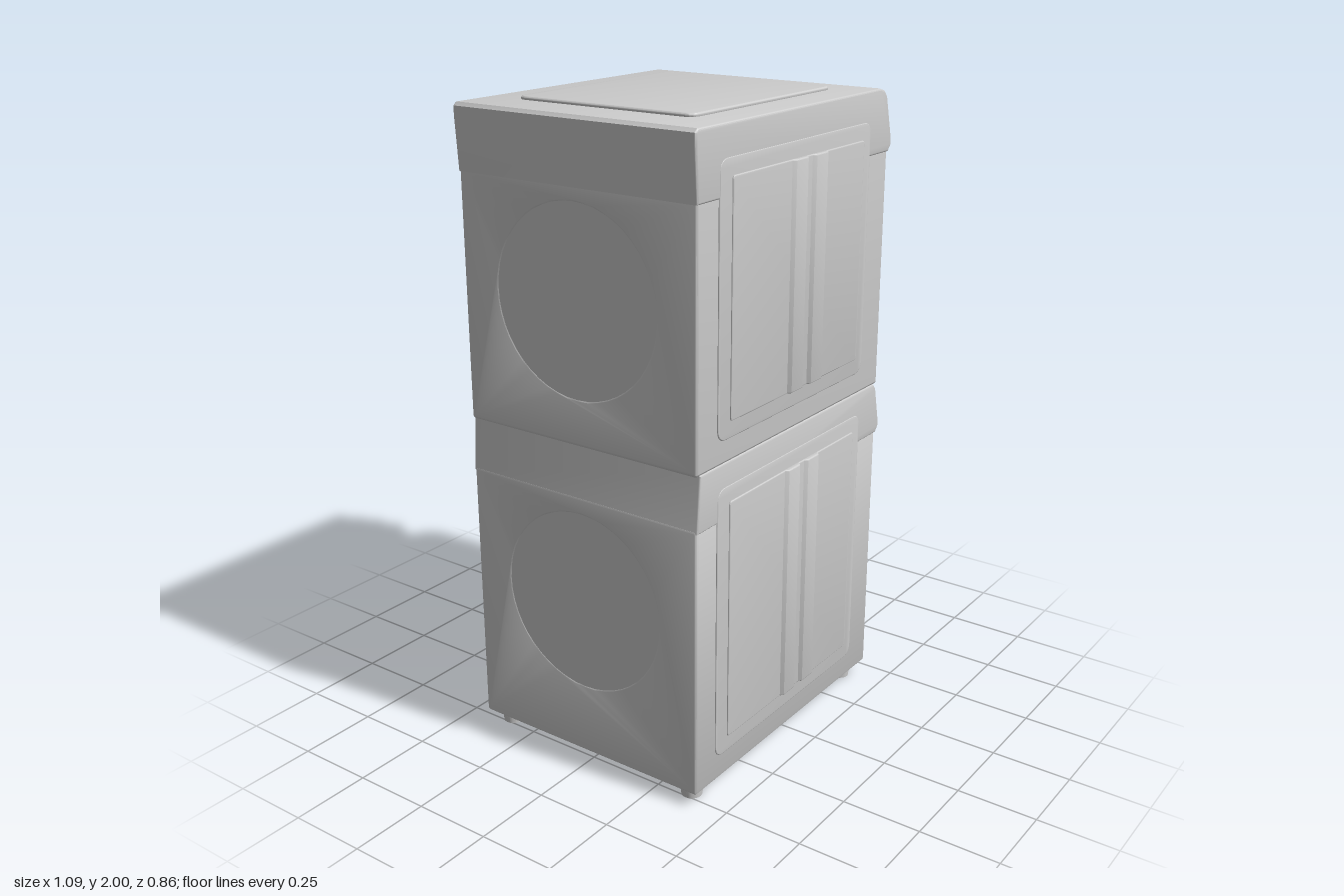
import * as THREE from 'three';
import { toCreasedNormals } from 'three/addons/utils/BufferGeometryUtils.js';

const grey = new THREE.MeshStandardMaterial({ color: 0xcccccc });

function add(parent, name, geo, x = 0, y = 0, z = 0) {
  const mesh = new THREE.Mesh(geo, grey);
  mesh.name = name;
  mesh.position.set(x, y, z);
  parent.add(mesh);
  return mesh;
}

function roundedRect(w, h, r) {
  const s = new THREE.Shape(), a = w / 2, b = h / 2;
  s.moveTo(-a + r, -b);
  s.lineTo(a - r, -b).quadraticCurveTo(a, -b, a, -b + r);
  s.lineTo(a, b - r).quadraticCurveTo(a, b, a - r, b);
  s.lineTo(-a + r, b).quadraticCurveTo(-a, b, -a, b - r);
  s.lineTo(-a, -b + r).quadraticCurveTo(-a, -b, -a + r, -b);
  return s;
}

// Extrusion along z from 0 to depth, bevel included in the outer size of z
function extrude(shape, depth, bevel) {
  const geo = new THREE.ExtrudeGeometry(shape, {
    depth: depth - 2 * bevel, curveSegments: 24, bevelEnabled: bevel > 0,
    bevelThickness: bevel, bevelSize: bevel, bevelOffset: -bevel, bevelSegments: 3
  });
  geo.translate(0, 0, bevel);
  return toCreasedNormals(geo, 0.6);
}

const polygon = pts => new THREE.Shape(pts.map(p => new THREE.Vector2(p[0], p[1])));

// Lathe profile of [radius, x] points turned about the x axis
function latheX(pts, segments = 64) {
  const geo = new THREE.LatheGeometry(pts.map(p => new THREE.Vector2(p[0], p[1])), segments);
  return toCreasedNormals(geo.rotateZ(-Math.PI / 2), 0.5);
}

// Door ring, funnel and drum as one turned surface, with baffles inside
function makeDoor(parent, y) {
  const door = new THREE.Group();
  door.name = 'door';
  door.position.y = y;
  parent.add(door);
  add(door, 'doorRing', latheX([
    [0.29, 0.455], [0.327, 0.468], [0.327, 0.5], [0.32, 0.525], [0.307, 0.541], [0.295, 0.545],
    [0.272, 0.542], [0.26, 0.53], [0.235, 0.485], [0.21, 0.44], [0.195, 0.42], [0.19, 0.40],
    [0.2, 0.385], [0.235, 0.38], [0.24, 0.36], [0.24, 0.13], [0.22, 0.10], [0.0001, 0.09]
  ]));
  add(door, 'drumHub', latheX([[0.05, 0.08], [0.05, 0.1], [0.03, 0.12], [0.0001, 0.125]], 32));
  for (let i = 0; i < 3; i++) {
    const baffle = new THREE.Group();
    baffle.name = 'drumBaffle';
    baffle.rotation.x = i * Math.PI * 2 / 3 + 0.5;
    const wedge = polygon([[-0.05, 0], [0.05, 0], [0.014, 0.085], [-0.014, 0.085]]);
    const geo = extrude(wedge, 0.24, 0.008).rotateY(Math.PI / 2);
    add(baffle, 'baffleFin', geo, 0.11, -0.24, 0);
    door.add(baffle);
  }
  return door;
}

function makeKnob(parent, y, z, r, length) {
  const knob = add(parent, 'knob', latheX([
    [r, 0], [r, 0.012], [r * 0.86, 0.016], [r * 0.8, length - 0.008], [r * 0.7, length], [0.0001, length]
  ], 32), 0, y, z);
  knob.rotation.z = 0.24;
  return knob;
}

// Pressed side sheets with two raised vertical ribs, on both sides
function makeSides(parent, y0, y1) {
  const h = y1 - y0, yc = (y0 + y1) / 2;
  for (const side of [1, -1]) {
    const g = new THREE.Group();
    g.name = side > 0 ? 'leftSidePanel' : 'rightSidePanel';
    g.position.set(0, yc, side * 0.413);
    if (side < 0) g.rotation.y = Math.PI;
    parent.add(g);
    add(g, 'pressedPanel', extrude(roundedRect(0.79, h, 0.04), 0.006, 0.003), -0.045 * side);
    add(g, 'innerPanel', extrude(roundedRect(0.69, h - 0.1, 0.01), 0.010, 0.003), -0.038 * side);
    for (const x of [-0.055, 0.052]) {
      const rib = polygon([[-0.052, 0], [0.052, 0], [0.03, -0.019], [-0.03, -0.019]]);
      const geo = extrude(rib, h - 0.1, 0.004).rotateX(-Math.PI / 2);
      add(g, 'rib', geo, x * side, -(h - 0.1) / 2, 0);
    }
  }
}

// One appliance: hollow cabinet, sloped control section, door
function makeUnit(name, o) {
  const unit = new THREE.Group();
  unit.name = name;
  const h = o.panelY - o.y0, yc = (o.y0 + o.panelY) / 2;

  const outline = roundedRect(0.83, h, 0.012);
  const hole = new THREE.Path();
  hole.absarc(0, o.doorY - yc, 0.28, 0, Math.PI * 2, true);
  outline.holes.push(hole);
  add(unit, 'cabinet', extrude(outline, 0.998, 0.008).rotateY(Math.PI / 2), -0.535, yc, 0);
  add(unit, 'backPanel', new THREE.BoxGeometry(0.02, h - 0.02, 0.8), -0.524, yc, 0);

  const section = extrude(polygon(o.profile), 0.836, 0.006);
  add(unit, 'controlSection', section, 0, 0, -0.418);
  const grip = add(unit, 'drawerGrip', extrude(roundedRect(0.21, 0.024, 0.01), 0.02, 0.004)
    .rotateY(Math.PI / 2), 0.469, o.panelY + 0.026, 0.252);
  grip.rotation.z = 0.24;

  makeSides(unit, o.sideY[0], o.sideY[1]);
  makeDoor(unit, o.doorY);
  return unit;
}

export function createModel() {
  const model = new THREE.Group();
  model.name = 'stackedLaundryUnits';

  const lower = makeUnit('lowerUnit', {
    y0: 0.042, panelY: 0.89, doorY: 0.553, sideY: [0.12, 0.98],
    profile: [[-0.534, 0.88], [0.465, 0.88], [0.482, 0.90], [0.48, 0.925],
      [0.455, 1.035], [0.44, 1.052], [-0.522, 1.052]]
  });
  const upper = makeUnit('upperUnit', {
    y0: 1.048, panelY: 1.805, doorY: 1.473, sideY: [1.12, 1.9],
    profile: [[-0.536, 1.795], [0.465, 1.795], [0.483, 1.815], [0.48, 1.84],
      [0.446, 1.965], [0.43, 1.982], [0.405, 1.99], [-0.535, 1.99], [-0.546, 1.98], [-0.546, 1.95]]
  });
  model.add(lower, upper);

  // Controls
  makeKnob(lower, 0.982, -0.2, 0.033, 0.05).position.x = 0.463;
  makeKnob(lower, 0.982, -0.3, 0.033, 0.05).position.x = 0.463;
  makeKnob(upper, 1.902, 0.005, 0.046, 0.035).position.x = 0.463;
  makeKnob(upper, 1.893, -0.205, 0.038, 0.055).position.x = 0.464;
  makeKnob(upper, 1.88, -0.305, 0.03, 0.035).position.x = 0.467;
  const display = add(upper, 'displayPlate', new THREE.BoxGeometry(0.012, 0.125, 0.235), 0.4605, 1.9, 0);
  display.rotation.z = 0.265;

  // Door latches
  const latch = extrude(roundedRect(0.095, 0.19, 0.03), 0.06, 0.01).rotateY(Math.PI / 2);
  add(upper, 'doorHandle', latch, 0.477, 1.483, -0.262);
  add(lower, 'doorLatch', new THREE.BoxGeometry(0.05, 0.06, 0.06), 0.42, 0.53, -0.17);

  // Seam trim and service flap
  add(upper, 'seamTrim', extrude(roundedRect(0.81, 0.03, 0.008), 0.012, 0.004)
    .rotateY(Math.PI / 2), 0.456, 1.077, 0);
  add(lower, 'serviceFlap', extrude(roundedRect(0.2, 0.135, 0.008), 0.008, 0.003)
    .rotateY(Math.PI / 2), 0.458, 0.13, -0.292);

  // Top
  add(upper, 'topPanel', extrude(roundedRect(0.71, 0.615, 0.04), 0.014, 0.006)
    .rotateX(-Math.PI / 2), -0.045, 1.986, -0.003);
  add(upper, 'topPlug', new THREE.CylinderGeometry(0.025, 0.027, 0.01, 6), 0.335, 1.989, 0.11);

  // Feet
  for (const x of [-0.475, 0.395]) for (const z of [-0.357, 0.357]) {
    add(model, 'foot', toCreasedNormals(new THREE.CylinderGeometry(0.036, 0.032, 0.05, 20), 0.5), x, 0.025, z);
  }
  return model;
}
